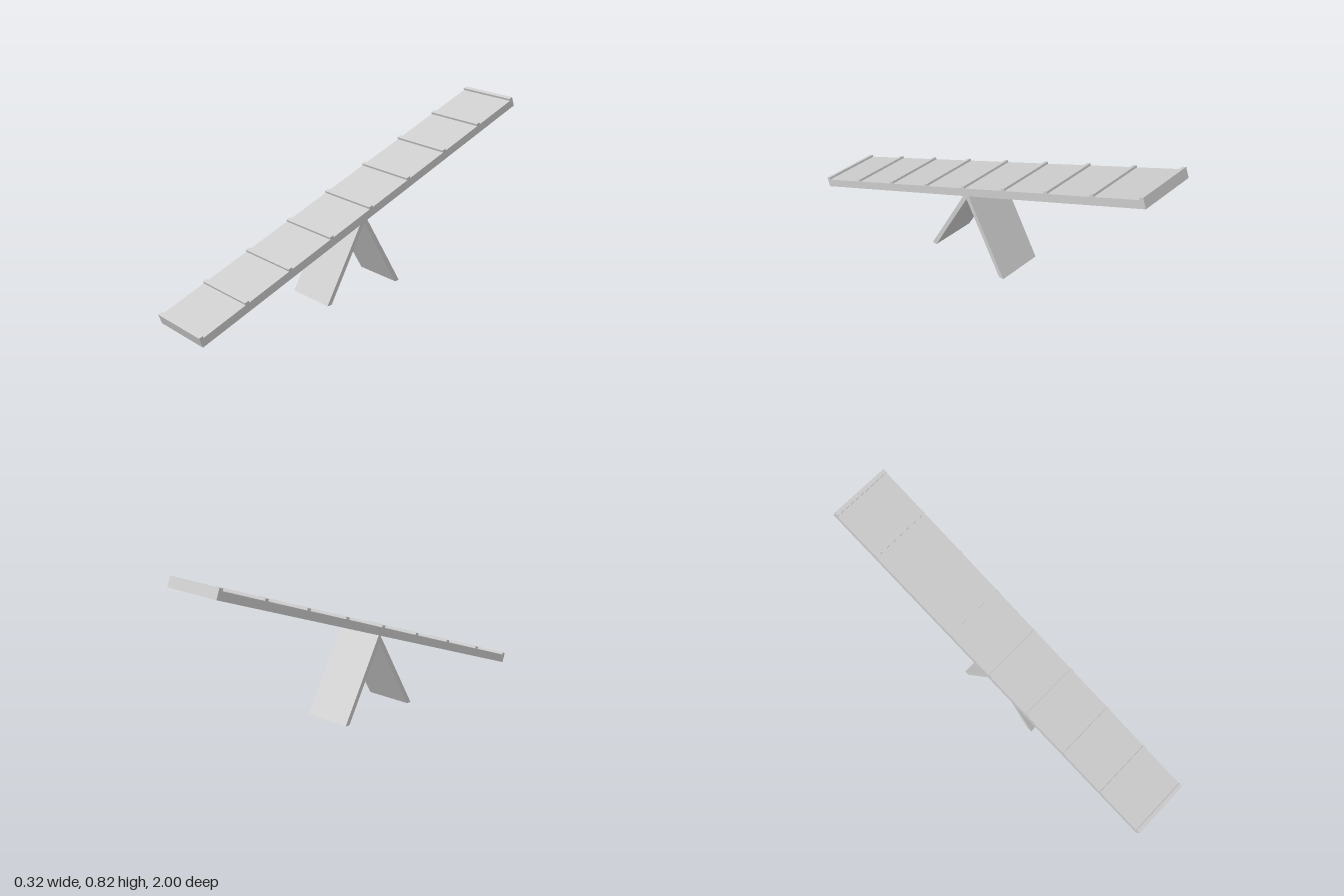
import * as THREE from 'three';

const material = new THREE.MeshStandardMaterial({ color: 0xcccccc, flatShading: true });

function box(name, w, h, d, y, z) {
  const mesh = new THREE.Mesh(new THREE.BoxGeometry(w, h, d), material);
  mesh.name = name;
  mesh.position.set(0, y, z);
  return mesh;
}

// Sloped slab with flat-cut foot; side is +1 (front) or -1 (back)
function leg(name, side) {
  const run = 0.235, foot = 0.026, width = 0.248;
  const slope = 1 / Math.tan(Math.PI / 6);
  const outline = [
    [run, 0], [0, run * slope], [0, (run - foot) * slope], [run - foot, 0],
  ].map(([z, y]) => new THREE.Vector2(-z * side, y));
  const geometry = new THREE.ExtrudeGeometry(new THREE.Shape(outline), { depth: width, bevelEnabled: false });
  geometry.translate(0, 0, -width / 2);
  geometry.rotateY(Math.PI / 2); // shape x becomes -z
  const mesh = new THREE.Mesh(geometry, material);
  mesh.name = name;
  return mesh;
}

export function createModel() {
  const model = new THREE.Group();
  model.name = 'dogRampSeesaw';

  // Tilted plank with evenly spaced grip slats, flush with both ends
  const length = 2.11, thickness = 0.04, width = 0.319;
  const slatHeight = 0.011, slatDepth = 0.021, slatCount = 9;
  const tilt = THREE.MathUtils.degToRad(20);
  const ramp = new THREE.Group();
  ramp.name = 'ramp';
  ramp.add(box('plank', width, thickness, length, thickness / 2, -length / 2));
  for (let i = 0; i < slatCount; i++) {
    const z = -slatDepth / 2 - (i * (length - slatDepth)) / (slatCount - 1);
    ramp.add(box('gripSlat', width, slatHeight, slatDepth, thickness + slatHeight / 2, z));
  }
  ramp.rotation.x = tilt;
  ramp.position.set(0, 0.046, 0.9825); // lower front edge of the plank
  model.add(ramp);

  // A-frame support under the middle
  const support = new THREE.Group();
  support.name = 'support';
  support.add(leg('frontLeg', 1), leg('backLeg', -1));
  support.position.z = 0.016;
  model.add(support);

  return model;
}
